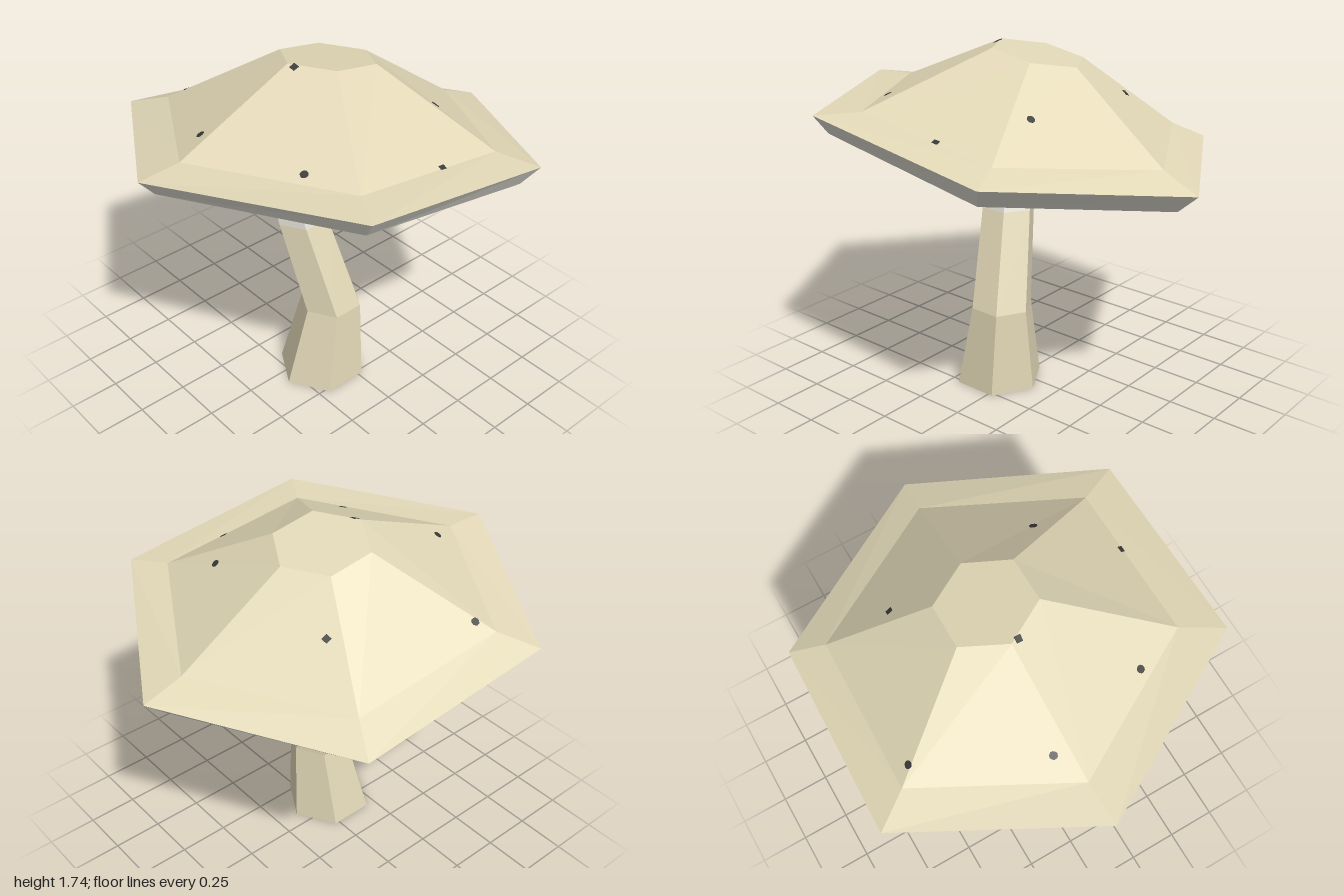
import * as THREE from 'three';

const SIDES = 6;

const material = (name, color) => {
  const m = new THREE.MeshStandardMaterial({ color, flatShading: true });
  m.name = name;
  return m;
};

// Flat-faced hexagonal loft, outward for rings listed from the underside up.
// Ring: [x, y, z, radius, rise per unit x, rise per unit z]; skew and depth shape the hexagon in z.
function loft(rings, skew = 0, depth = 1) {
  const pos = [];
  const point = ([x, y, z, r, riseX = 0, riseZ = 0], i) => {
    const a = ((i % SIDES) / SIDES) * Math.PI * 2;
    const dx = r * Math.cos(a), dz = depth * r * Math.sin(a) + skew * dx;
    return [x + dx, y + riseX * dx + riseZ * dz, z + dz];
  };
  for (let k = 0; k < rings.length - 1; k++) {
    const [lo, hi] = [rings[k], rings[k + 1]];
    for (let i = 0; i < SIDES; i++) {
      const a = point(lo, i), b = point(lo, i + 1), c = point(hi, i), d = point(hi, i + 1);
      if (lo[3] > 0) pos.push(...a, ...c, ...b);
      if (hi[3] > 0) pos.push(...b, ...c, ...d);
    }
  }
  const g = new THREE.BufferGeometry();
  g.setAttribute('position', new THREE.Float32BufferAttribute(pos, 3));
  g.computeVertexNormals();
  return g;
}

export function createModel() {
  const model = new THREE.Group();
  const tan = material('tan', 0xe3d9b8);
  const paleGrey = material('paleGrey', 0xe2e0d6);
  const charcoal = material('charcoal', 0x3a3a38);

  const add = (name, geometry, mat) => {
    const mesh = new THREE.Mesh(geometry, mat);
    mesh.name = name;
    model.add(mesh);
    return mesh;
  };

  // Bent stem: tan below, pale near the cap
  const collar = [-0.117, 0.91, -0.035, 0.137];
  add('stem', loft([
    [-0.088, 0, 0.078, 0], [-0.088, 0, 0.078, 0.223], [-0.046, 0.43, 0.105, 0.156], collar,
  ]), tan);
  add('upperStem', loft([
    collar, [-0.127, 0.98, -0.055, 0.133], [0.08, 1.5, 0.03, 0.1], [0.08, 1.5, 0.03, 0],
  ]), paleGrey);

  // Tilted cap: grey underside and rim, tan top
  const brim = [0, 1.342, 0, 1, -0.13, 0.096];
  const crown = [0.06, 1.7, -0.045, 0.23, -0.163, 0.1];
  add('capUnderside', loft([
    [0, 1.365, 0, 0],
    [0, 1.365, 0, 0.2, -0.13, 0.09],
    [0, 1.234, 0, 0.79, -0.13, 0.08],
    [-0.013, 1.2575, 0.01, 0.917, -0.145, 0.094],
    brim,
  ], 0.03, 1.01), paleGrey);
  const capTop = add('capTop', loft([
    brim, [0.012, 1.385, -0.012, 0.797, -0.12, 0.08], crown, [0.06, 1.7, -0.045, 0],
  ], 0.03, 1.01), tan);

  // Small flat specks laid on the cap: [x, z, sides]
  const up = new THREE.Vector3(0, 1, 0);
  const ray = new THREE.Raycaster();
  const specks = [
    [-0.32, -0.65, 10], [0.325, -0.39, 4], [-0.62, -0.11, 10], [-0.163, -0.015, 4],
    [-0.475, 0.42, 10], [0.352, 0.37, 10], [0.082, 0.685, 4],
  ];
  for (const [x, z, sides] of specks) {
    ray.set(new THREE.Vector3(x, 3, z), new THREE.Vector3(0, -1, 0));
    const hit = ray.intersectObject(capTop)[0];
    if (!hit) continue;
    const radius = sides === 4 ? 0.022 : 0.019;
    const disc = new THREE.CylinderGeometry(radius, radius, 0.004, sides);
    if (sides === 4) disc.rotateY(Math.PI / 4);
    const speck = add('speck', disc, charcoal);
    speck.position.copy(hit.point);
    speck.quaternion.setFromUnitVectors(up, hit.face.normal);
  }
  return model;
}
